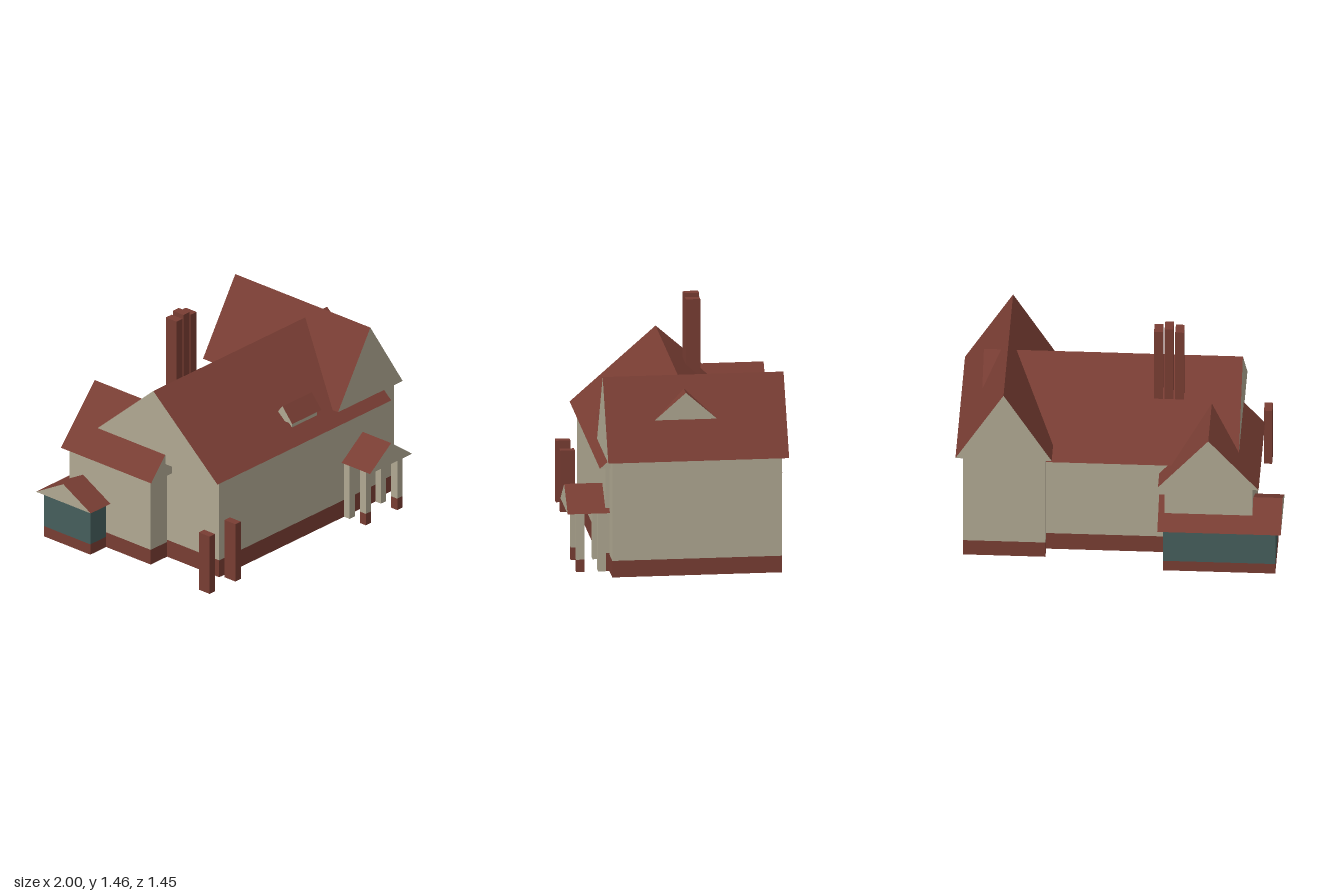
import * as THREE from 'three';

const brick = new THREE.MeshStandardMaterial({ color: 0x783d33 });
const plaster = new THREE.MeshStandardMaterial({ color: 0xb0a892 });
const glazing = new THREE.MeshStandardMaterial({ color: 0x455e5b });

export function createModel() {
  const house = new THREE.Group();
  house.name = 'house';

  // Box given by its extents on each axis
  function box(name, material, [x0, x1], [y0, y1], [z0, z1]) {
    const mesh = new THREE.Mesh(new THREE.BoxGeometry(x1 - x0, y1 - y0, z1 - z0), material);
    mesh.position.set((x0 + x1) / 2, (y0 + y1) / 2, (z0 + z1) / 2);
    mesh.name = name;
    house.add(mesh);
  }

  // Wall block standing on a brick plinth
  function walls(name, material, x, z, plinth, top) {
    box(name + 'Plinth', brick, x, [0, plinth], z);
    box(name + 'Walls', material, x, [plinth, top], z);
  }

  // Solid gabled roof: plaster gable ends, brick-red slopes and underside
  function roof(name, ridgeAxis, x, [eave, ridge], z) {
    const [span, run] = ridgeAxis === 'z' ? [x, z] : [z, x];
    const half = (span[1] - span[0]) / 2;
    const depth = run[1] - run[0];
    const gable = new THREE.Shape([
      new THREE.Vector2(-half, 0), new THREE.Vector2(half, 0), new THREE.Vector2(0, ridge - eave),
    ]);
    const geometry = new THREE.ExtrudeGeometry(gable, { depth, bevelEnabled: false });
    geometry.translate(0, 0, -depth / 2);
    if (ridgeAxis === 'x') geometry.rotateY(Math.PI / 2);
    const mesh = new THREE.Mesh(geometry, [plaster, brick]);
    mesh.position.set((x[0] + x[1]) / 2, eave, (z[0] + z[1]) / 2);
    mesh.name = name;
    house.add(mesh);
  }

  // Main block
  walls('main', plaster, [-0.67, 0.8], [-0.49, 0.49], 0.115, 0.665);
  roof('mainRoof', 'x', [-0.73, 0.857], [0.665, 1.13], [-0.53, 0.53]);

  // Taller cross wing
  walls('wing', plaster, [0.45, 0.955], [-0.58, 0.465], 0.105, 0.735);
  roof('wingRoof', 'z', [0.41, 1], [0.735, 1.205], [-0.62, 0.495]);

  // Lower annex
  walls('annex', plaster, [-0.82, -0.28], [-0.61, 0.06], 0.1, 0.58);
  roof('annexRoof', 'z', [-0.86, -0.243], [0.58, 0.93], [-0.645, 0.1]);

  // Glazed conservatory
  walls('conservatory', glazing, [-0.965, -0.277], [-0.69, -0.307], 0.07, 0.305);
  roof('conservatoryRoof', 'x', [-1, -0.243], [0.305, 0.43], [-0.725, -0.272]);

  // Dormers
  box('frontDormerWall', plaster, [0.05, 0.28], [0.69, 0.78], [0.32, 0.44]);
  roof('frontDormerRoof', 'x', [0.03, 0.297], [0.78, 0.875], [0.3, 0.46]);
  roof('sideDormer', 'x', [0.7, 0.858], [0.957, 1.13], [-0.197, 0.197]);

  // Row of three chimneys
  [1.435, 1.457, 1.435].forEach((top, i) => {
    const x = -0.38 + i * 0.065;
    box('chimney', brick, [x, x + 0.054], [0.7, top], [-0.213, -0.125]);
  });

  // Entrance porch: front posts have brick feet
  roof('porchRoof', 'z', [0.448, 0.832], [0.375, 0.517], [0.44, 0.725]);
  for (const x of [0.47, 0.757]) {
    const span = [x, x + 0.048];
    box('porchFrontPostFoot', brick, span, [0, 0.078], [0.62, 0.67]);
    box('porchFrontPost', plaster, span, [0.078, 0.375], [0.62, 0.67]);
    box('porchBackPost', plaster, span, [0, 0.375], [0.485, 0.535]);
  }

  // Gate posts
  for (const x of [-0.882, -0.648]) {
    box('gatePost', brick, [x, x + 0.05], [0, 0.39], [0.513, 0.603]);
  }

  return house;
}
